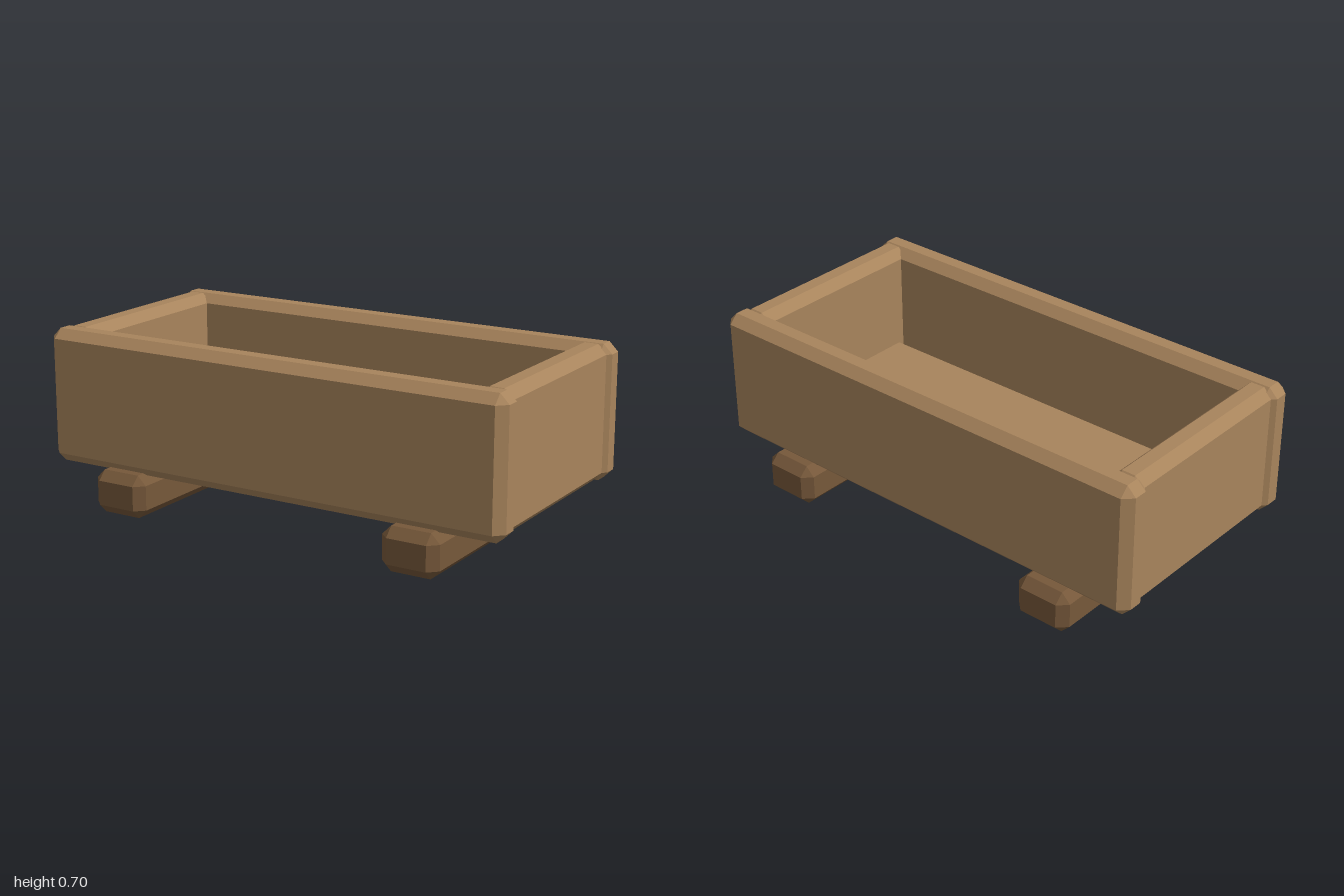
import * as THREE from 'three';
import { ConvexGeometry } from 'three/addons/geometries/ConvexGeometry.js';

const BEVEL = 0.037;

// Box with every edge cut at 45 degrees, given by its half sizes
function bevelledBox(hx, hy, hz, b = BEVEL) {
  const points = [];
  for (const sx of [-1, 1]) for (const sy of [-1, 1]) for (const sz of [-1, 1]) {
    points.push(
      new THREE.Vector3(sx * hx, sy * (hy - b), sz * (hz - b)),
      new THREE.Vector3(sx * (hx - b), sy * hy, sz * (hz - b)),
      new THREE.Vector3(sx * (hx - b), sy * (hy - b), sz * hz)
    );
  }
  return new ConvexGeometry(points);
}

export function createModel() {
  const model = new THREE.Group();
  model.name = 'planterBox';

  const lightWood = new THREE.MeshStandardMaterial({ color: 0xa8845c });
  lightWood.name = 'light wood';
  const darkWood = new THREE.MeshStandardMaterial({ color: 0x76583a });
  darkWood.name = 'dark wood';

  // Adds a plank spanning the given ranges
  function plank(name, material, [x0, x1], [y0, y1], [z0, z1]) {
    const mesh = new THREE.Mesh(
      bevelledBox((x1 - x0) / 2, (y1 - y0) / 2, (z1 - z0) / 2), material);
    mesh.position.set((x0 + x1) / 2, (y0 + y1) / 2, (z0 + z1) / 2);
    mesh.name = name;
    model.add(mesh);
  }

  const wallY = [0.165, 0.705];

  // Long walls
  plank('frontWall', lightWood, [-1, 1], wallY, [0.369, 0.498]);
  plank('backWall', lightWood, [-1, 1], wallY, [-0.498, -0.369]);

  // End walls, tucked between the long ones
  plank('leftWall', lightWood, [0.853, 0.983], wallY, [-0.432, 0.432]);
  plank('rightWall', lightWood, [-0.983, -0.853], wallY, [-0.432, 0.432]);

  // Floor, slightly below the walls
  plank('floor', lightWood, [-0.918, 0.918], [0.14, 0.28], [-0.38, 0.38]);

  // Two skids running front to back
  plank('leftSkid', darkWood, [0.53, 0.766], [0, 0.173], [-0.542, 0.542]);
  plank('rightSkid', darkWood, [-0.766, -0.53], [0, 0.173], [-0.542, 0.542]);

  return model;
}
